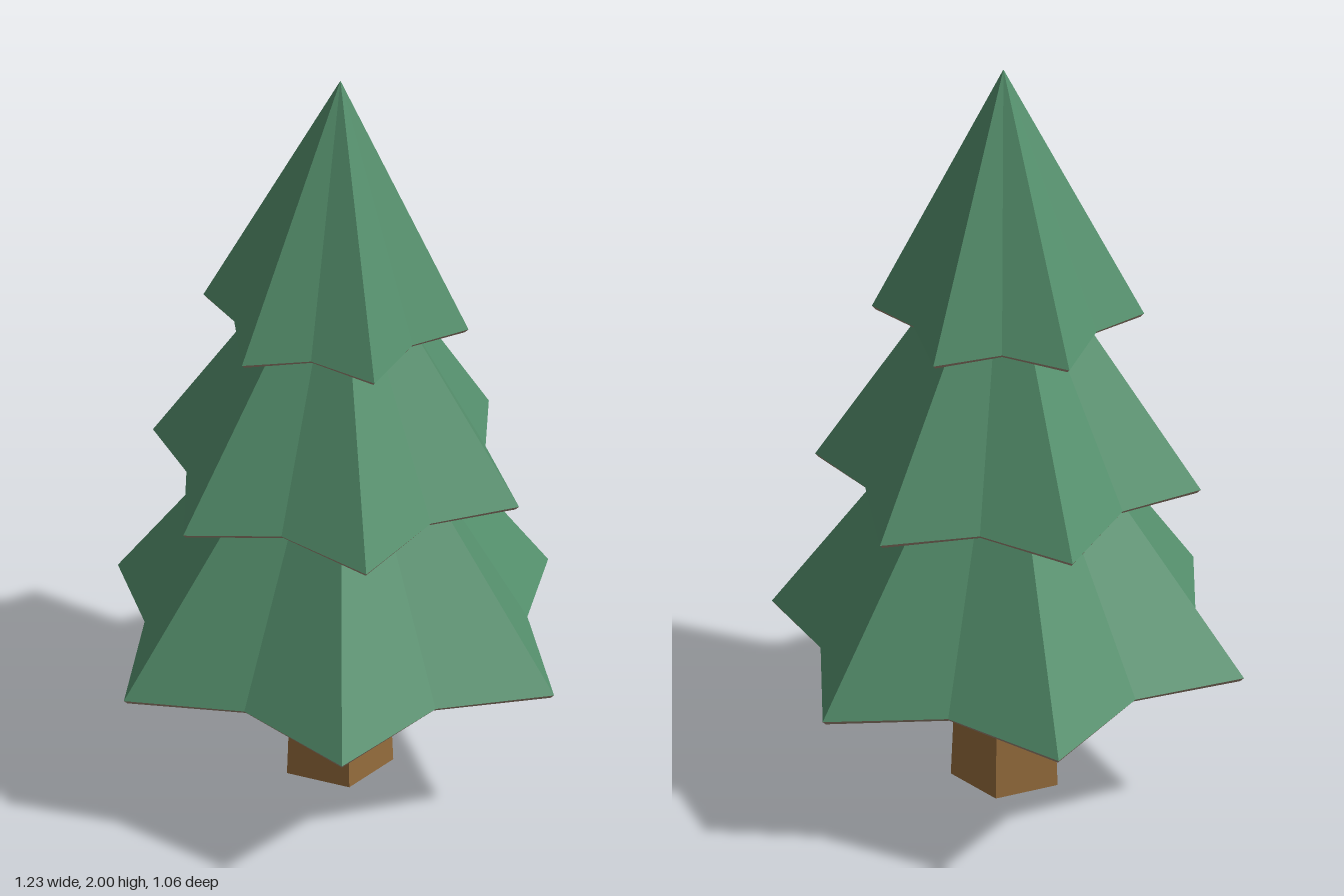
import * as THREE from 'three';

const green = new THREE.MeshStandardMaterial({ color: 0x55906d, flatShading: true });
const wood = new THREE.MeshStandardMaterial({ color: 0x966d3d, flatShading: true });
const edge = new THREE.MeshStandardMaterial({ color: 0xa08c78, flatShading: true });

// Ring of 12 points, alternating low tips and higher valleys
function starRing(tip, valley, tipY, valleyY, turn) {
  return Array.from({ length: 12 }, (_, i) => {
    const a = (i * Math.PI) / 6 + turn;
    const r = i % 2 ? valley : tip;
    return new THREE.Vector3(r * Math.cos(a), i % 2 ? valleyY : tipY, r * Math.sin(a));
  });
}

function facetMesh(name, points, material) {
  const geometry = new THREE.BufferGeometry().setFromPoints(points);
  geometry.computeVertexNormals();
  const mesh = new THREE.Mesh(geometry, material);
  mesh.name = name;
  return mesh;
}

// Hollow star-shaped cone: outer skin, inner skin and a thin rim joining them
function createTier({ name, tip, valley, tipY, valleyY, apexY, turn }) {
  const outer = starRing(tip, valley, tipY, valleyY, turn);
  const inner = starRing(tip - 0.01, valley - 0.01, tipY - 0.01, valleyY - 0.01, turn);
  const apex = new THREE.Vector3(0.008, apexY, 0.008);
  const innerApex = new THREE.Vector3(0.008, apexY - 0.025, 0.008);
  const skin = [], rim = [];
  for (let i = 0; i < 12; i++) {
    const j = (i + 1) % 12;
    skin.push(apex, outer[j], outer[i], innerApex, inner[i], inner[j]);
    rim.push(outer[i], outer[j], inner[j], outer[i], inner[j], inner[i]);
  }
  const tier = new THREE.Group();
  tier.name = name;
  tier.add(facetMesh('branchSkin', skin, green), facetMesh('branchRim', rim, edge));
  return tier;
}

export function createModel() {
  const tree = new THREE.Group();
  tree.name = 'pineTree';

  // Tapered five-sided trunk with a corner towards -x
  const trunk = new THREE.Mesh(new THREE.CylinderGeometry(0.105, 0.142, 0.9, 5), wood);
  trunk.name = 'trunk';
  trunk.position.y = 0.45;
  trunk.rotation.y = -Math.PI / 2;
  tree.add(trunk);

  // Three tiers, each one smaller and turned a little further
  const twist = -Math.PI / 24;
  [
    { name: 'lowerTier', tip: 0.614, valley: 0.473, tipY: 0.374, valleyY: 0.406, apexY: 1.25, turn: 0 },
    { name: 'middleTier', tip: 0.485, valley: 0.374, tipY: 0.853, valleyY: 0.88, apexY: 1.62, turn: twist },
    { name: 'upperTier', tip: 0.337, valley: 0.262, tipY: 1.315, valleyY: 1.335, apexY: 2, turn: 2 * twist },
  ].forEach((spec) => tree.add(createTier(spec)));

  return tree;
}
